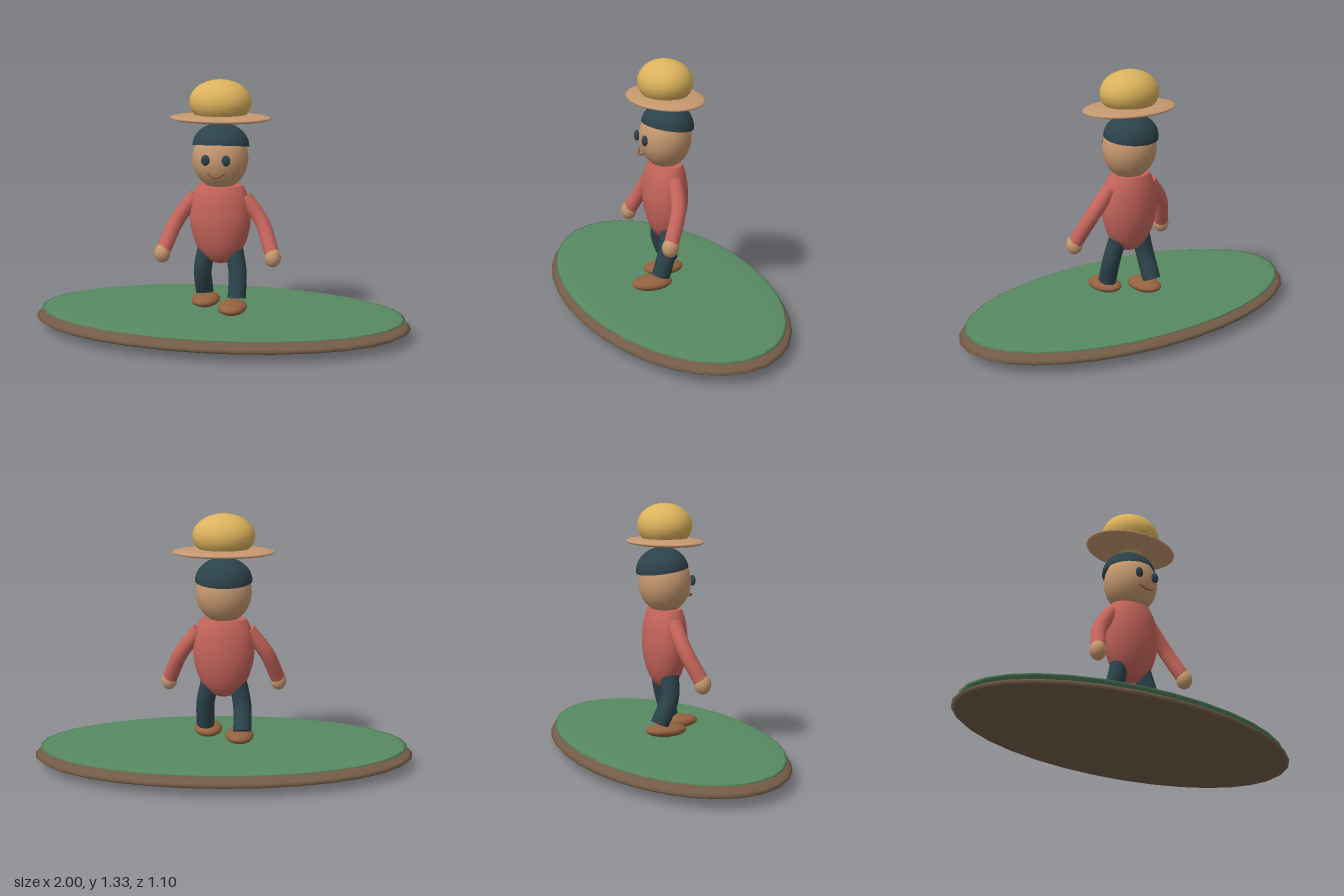
import * as THREE from 'three';

const mat = (name, color) => {
  const m = new THREE.MeshStandardMaterial({ color });
  m.name = name;
  return m;
};
const V = (p) => new THREE.Vector3(...p);

export function createModel() {
  const root = new THREE.Group();
  root.name = 'figureOnIsland';

  const earth = mat('earth brown', 0x735c47);
  const grass = mat('grass green', 0x578a62);
  const skin = mat('tan', 0xc6986f);
  const shirt = mat('shirt red', 0xc6655b);
  const dark = mat('dark slate', 0x2c434b);
  const shoe = mat('shoe brown', 0x94623f);
  const straw = mat('straw yellow', 0xdcb25c);
  dark.side = THREE.DoubleSide;

  const add = (name, geometry, material, parent = root) => {
    const mesh = new THREE.Mesh(geometry, material);
    mesh.name = name;
    parent.add(mesh);
    return mesh;
  };
  const ellipsoid = (name, material, radii, pos, w = 24, h = 16) => {
    const mesh = add(name, new THREE.SphereGeometry(1, w, h).scale(...radii), material);
    mesh.position.set(...pos);
    return mesh;
  };
  // Curved limb with flat round ends
  const limb = (name, material, points, radius) => {
    const group = new THREE.Group();
    group.name = name;
    root.add(group);
    const curve = new THREE.CatmullRomCurve3(points.map(V));
    add(name + 'Tube', new THREE.TubeGeometry(curve, 14, radius, 12), material, group);
    for (const t of [0, 1]) {
      const cap = add(name + 'End', new THREE.CircleGeometry(radius, 12), material, group);
      cap.position.copy(curve.getPoint(t));
      const out = curve.getTangent(t).multiplyScalar(t ? 1 : -1);
      cap.quaternion.setFromUnitVectors(V([0, 0, 1]), out);
    }
  };

  // Ground
  ellipsoid('earthBase', earth, [1, 0.06, 0.55], [0, 0.06, 0], 32, 16);
  ellipsoid('grassTop', grass, [0.97, 0.02, 0.525], [0, 0.105, 0], 32, 16);

  // Torso: flattened lathe with a flat top
  const outline = [[0, 0.365], [0.055, 0.382], [0.105, 0.428], [0.14, 0.5], [0.159, 0.59],
    [0.155, 0.68], [0.138, 0.745], [0.118, 0.785]].map(([x, y]) => new THREE.Vector2(x, y));
  const profile = new THREE.SplineCurve(outline).getPoints(20);
  profile[0].x = 0;
  add('torso', new THREE.LatheGeometry(profile, 28).scale(1, 1, 0.7), shirt);
  add('torsoTop', new THREE.CircleGeometry(0.118, 28).rotateX(-Math.PI / 2)
    .scale(1, 1, 0.7).translate(0, 0.785, 0), shirt);

  // Limbs, with the left leg stepping forward
  for (const s of [1, -1]) {
    const side = s > 0 ? 'left' : 'right';
    limb(side + 'Arm', shirt,
      [[s * 0.128, 0.725, 0], [s * 0.222, 0.6, 0.02], [s * 0.285, 0.45, 0.085]], 0.039);
    ellipsoid(side + 'Hand', skin, [0.042, 0.051, 0.043], [s * 0.29, 0.432, 0.092], 16, 12);
    const knee = s > 0 ? 0.027 : -0.01;
    const ankle = s > 0 ? 0.065 : -0.067;
    limb(side + 'Leg', dark,
      [[s * 0.07, 0.46, 0], [s * 0.096, 0.33, knee], [s * 0.098, 0.197, ankle]], 0.048);
    ellipsoid(side + 'Shoe', shoe, [0.075, 0.035, 0.11], [s * 0.083, 0.161, ankle + 0.043], 20, 12);
    ellipsoid(side + 'Eye', dark, [0.022, 0.028, 0.014], [s * 0.053, 0.932, 0.134], 16, 10);
  }

  // Head, hair and mouth
  ellipsoid('head', skin, [0.145, 0.16, 0.135], [0, 0.925, 0], 28, 18);
  const hair = add('hair', new THREE.SphereGeometry(1, 28, 10, 0, Math.PI * 2, 0, Math.PI / 2)
    .scale(0.148, 0.119, 0.134), dark);
  hair.position.set(0, 0.987, -0.013);
  hair.rotation.x = -0.15;
  const smile = new THREE.QuadraticBezierCurve3(
    V([-0.043, 0.867, 0.127]), V([0, 0.827, 0.155]), V([0.043, 0.867, 0.127]));
  add('mouth', new THREE.TubeGeometry(smile, 10, 0.006, 8), shoe);

  // Hat
  ellipsoid('hatBrim', skin, [0.265, 0.023, 0.191], [0, 1.133, 0], 28, 14);
  ellipsoid('hatCrown', straw, [0.161, 0.115, 0.139], [0, 1.216, 0], 24, 14);

  return root;
}
